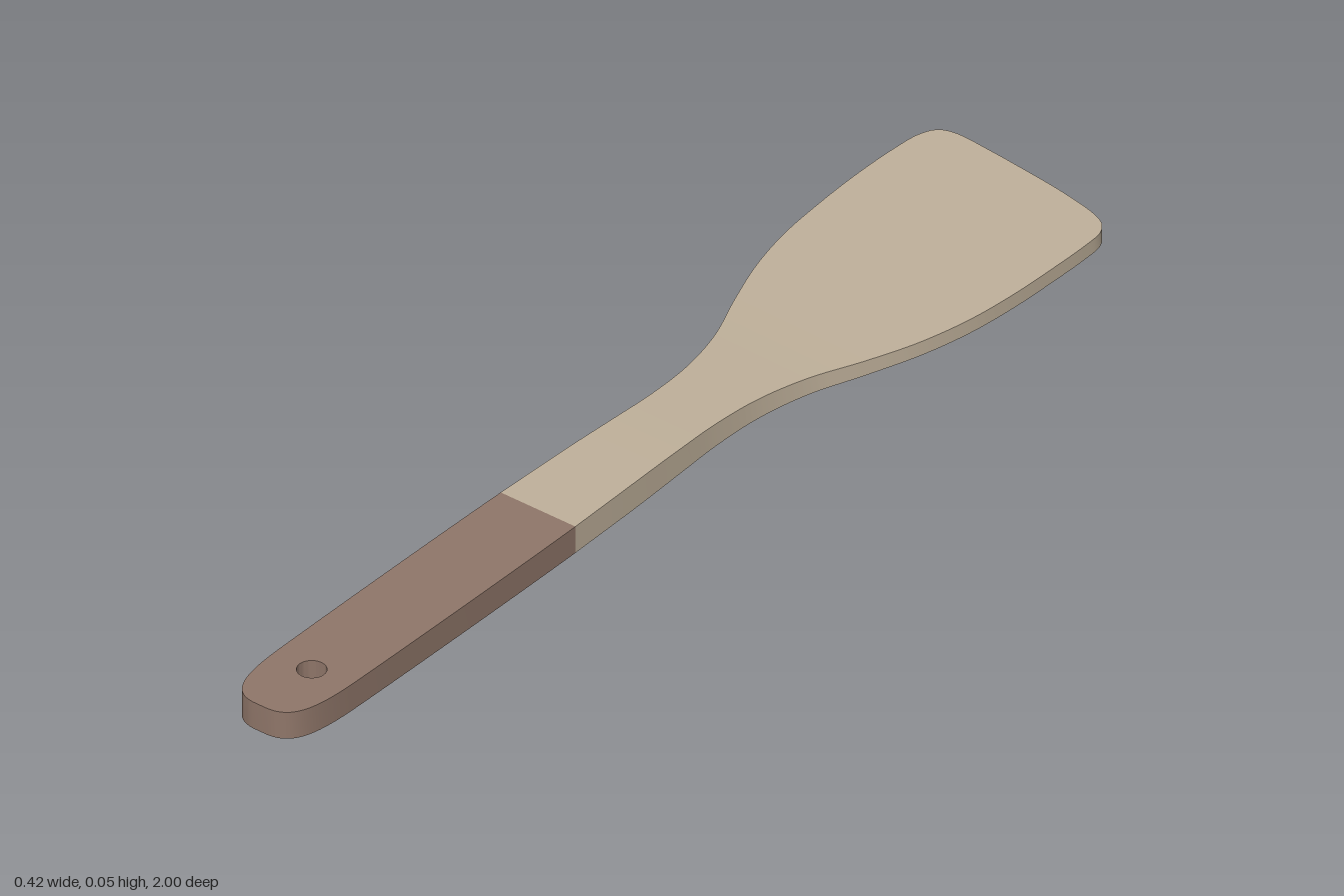
import * as THREE from 'three';
import { toCreasedNormals } from 'three/addons/utils/BufferGeometryUtils.js';

const THICK = 0.052;
const SEAM = 0.28; // z where the grip meets the blade

// Smooth curve through [x, z] outline points
function outline(points, count) {
  const curve = new THREE.CatmullRomCurve3(
    points.map(([x, z]) => new THREE.Vector3(x, 0, z)), false, 'centripetal');
  return curve.getSpacedPoints(count);
}

// Blade: ruled cross-sections between the two side outlines, thinning toward the tip
function bladeGeometry() {
  const neck = [[0.078, SEAM], [0.074, 0.12], [0.07, 0], [0.068, -0.1], [0.075, -0.2],
    [0.098, -0.3], [0.138, -0.4], [0.173, -0.5], [0.195, -0.6], [0.205, -0.7]];
  const leftTip = [[0.21, -0.8], [0.209, -0.9], [0.203, -0.96], [0.188, -0.99], [0.16, -1],
    [0.08, -0.996], [0, -0.988]];
  const rightTip = [[0.208, -0.8], [0.208, -0.88], [0.204, -0.925], [0.19, -0.947],
    [0.165, -0.96], [0.08, -0.978], [0, -0.988]];
  const N = 96;
  const left = outline([...neck, ...leftTip].map(([x, z]) => [-x, z]), N);
  const right = outline([...neck, ...rightTip], N);

  const inset = (z) => 0.0125 * THREE.MathUtils.smoothstep(-z, -0.15, 0.5);
  const at = (p, top) => [p.x, top ? THICK - inset(p.z) : inset(p.z), p.z];
  const ring = (i) => [at(left[i], true), at(right[i], true), at(right[i], false), at(left[i], false)];

  const pos = [];
  for (let i = 0; i < N; i++) {
    const r0 = ring(i), r1 = ring(i + 1);
    for (let k = 0; k < 4; k++) {
      const j = (k + 1) % 4;
      pos.push(...r0[k], ...r0[j], ...r1[j]);
      if (i < N - 1 || k % 2) pos.push(...r0[k], ...r1[j], ...r1[k]);
    }
  }
  const geo = new THREE.BufferGeometry();
  geo.setAttribute('position', new THREE.Float32BufferAttribute(pos, 3));
  return toCreasedNormals(geo, 0.7);
}

// Grip: flat slab with a rounded end and a hanging hole
function gripGeometry() {
  const shape = new THREE.Shape();
  shape.moveTo(-0.078, -SEAM);
  shape.bezierCurveTo(-0.08, -0.4, -0.08, -0.7, -0.078, -0.86);
  shape.bezierCurveTo(-0.076, -0.96, -0.06, -0.997, -0.015, -1);
  shape.lineTo(0.015, -1);
  shape.bezierCurveTo(0.06, -0.997, 0.076, -0.96, 0.078, -0.86);
  shape.bezierCurveTo(0.08, -0.7, 0.08, -0.4, 0.078, -SEAM);
  shape.closePath();

  const hole = new THREE.Path();
  hole.absarc(0, -0.867, 0.025, 0, Math.PI * 2, true);
  shape.holes.push(hole);

  const geo = new THREE.ExtrudeGeometry(shape, { depth: THICK, bevelEnabled: false, curveSegments: 16 });
  geo.rotateX(-Math.PI / 2);
  return toCreasedNormals(geo, 0.7);
}

export function createModel() {
  const paleWood = new THREE.MeshStandardMaterial({ color: 0xc0b19b });
  paleWood.name = 'pale wood';
  const brownWood = new THREE.MeshStandardMaterial({ color: 0x8f7669 });
  brownWood.name = 'brown wood';

  const group = new THREE.Group();
  group.name = 'spatula';
  const blade = new THREE.Mesh(bladeGeometry(), paleWood);
  blade.name = 'blade';
  const grip = new THREE.Mesh(gripGeometry(), brownWood);
  grip.name = 'grip';
  group.add(blade, grip);
  return group;
}
